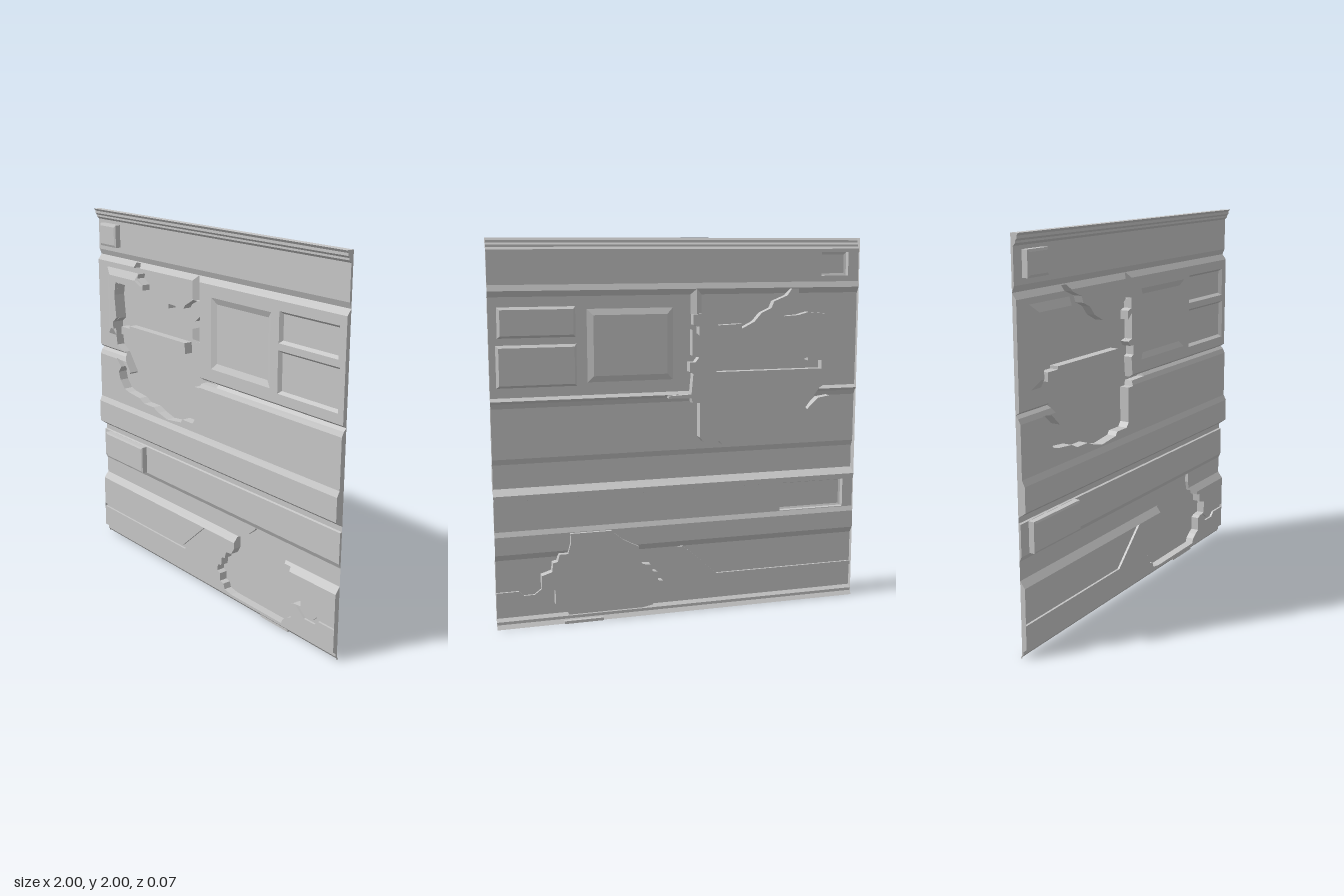
import * as THREE from 'three';

const BACK = -0.012;

// Cross-section of the moulded wall, from bottom to top: [y, z]
const profile = [
  [0, -0.022], [0.02, -0.004], [0.035, -0.004], [0.05, 0.015], [0.36, 0.015], [0.395, BACK],
  [0.49, BACK], [0.515, 0], [0.675, 0], [0.678, BACK], [0.705, BACK], [0.735, 0.03], [0.86, 0.03],
  [0.89, 0.015], [1.15, 0.015], [1.175, 0.003], [1.19, BACK], [1.205, 0.01], [1.71, 0.01],
  [1.74, BACK], [1.77, 0], [1.943, 0], [1.955, 0.012], [1.965, 0.012], [1.975, 0.021],
  [1.988, 0.021], [2, 0.03],
];

function wallZ(y) {
  for (let i = 1; i < profile.length; i++) {
    const [y0, z0] = profile[i - 1], [y1, z1] = profile[i];
    if (y <= y1) return z0 + (z1 - z0) * (y - y0) / (y1 - y0);
  }
  return profile[profile.length - 1][1];
}

const pairs = (a) => a.reduce((p, v, i) => (i % 2 ? p[p.length - 1].push(v) : p.push([v]), p), []);
const rect = (x0, y0, x1, y1) => [[x0, y0], [x1, y0], [x1, y1], [x0, y1]];
const edges = (poly) => poly.map((p, i) => [p, poly[(i + 1) % poly.length]]);
const levels = (ys) => [...new Set(ys.map((y) => +y.toFixed(5)))].sort((a, b) => a - b);

// Torn openings, stored as hundredths of a unit
const hundredths = (a) => pairs(a).map(([x, y]) => [x / 100, y / 100]);
const upperHole = hundredths([
  -64, 173.5, -60, 173.5, -57.5, 170, -50, 167, -48.5, 163.5, -43, 161, -39, 156.5, -32, 153,
  -32, 155.5, -19, 155, -17.5, 157, -12, 160, -10.7, 161, -5.3, 161, -5.3, 155.5, -8.5, 154.5,
  -8.5, 150, -4.8, 153, -4.8, 139.5, -8.5, 138.5, -6.5, 136, -3.3, 136, -3.3, 131, -5.3, 130,
  -4.3, 119.2, 8, 118.7, 8, 117.4, -4.3, 117.2, -5, 114.5, -9, 114.5, -9, 96, -11, 93.5,
  -20, 93.5, -21.5, 91.5, -34, 90, -42, 92, -47, 94, -56, 94, -60.5, 96.2, -71, 97.3, -75.5, 98.5,
  -79.5, 103, -81, 107.5, -78.5, 111, -83, 115.5, -76.5, 114.5, -70, 108.5, -69, 109.5,
  -77, 120, -82.5, 123.5, -83.5, 130, -83.5, 137, -80, 139.5, -81.5, 153, -80, 160,
  -69.5, 161, -64, 159.5, -56, 159, -56, 162, -61, 165, -60, 167.5, -64, 170.5,
]);
const lowerHole = hundredths([
  39, 48.7, 61, 48.7, 61, 43.5, 62.5, 38, 67, 38, 68, 34.2, 70.5, 33.7, 71, 29, 76.5, 27.3,
  76.5, 20.3, 71.6, 19.8, 69.5, 18.7, 69.5, 11.2, 66.3, 9.6, 63.6, 7.5, 62.5, 5, 22.5, 5,
  17, 6, 16, 9, 13, 9.6, 13, 14, 10.7, 15, 11.2, 18.7, 14, 19.3, 14.5, 24, 17, 24.6, 18, 28.3,
  22.5, 29, 24.6, 32.6, 24.6, 39, 28, 40.6, 33, 43.3, 37.5, 47,
]);
const strut = pairs([-0.78, 1.35, -0.7, 1.35, -0.7, 1.365, -0.18, 1.365, -0.18, 1.305, -0.78, 1.305]);
const leftGroove = pairs([-1, 0.192, -0.2, 0.192, -0.01, 0.36, 0.02, 0.36, -0.185, 0.172, -1, 0.172]);
const rightGroove = pairs([0.73, 0.195, 0.79, 0.145, 0.865, 0.145, 0.89, 0.17, 1, 0.17, 1, 0.19,
  0.88, 0.19, 0.855, 0.165, 0.8, 0.165, 0.76, 0.195]);
const seam = pairs([-0.11, 1.61, -0.11, 1.71, -0.08, 1.74, -0.05, 1.71, -0.05, 1.61]);

// Pressed panels: x0, y0, x1, y1, bevel width, rim z, face z
const panels = {
  raisedUpperBox: [-0.94, 1.8, -0.785, 1.925, 0.012, 0.03, 0.035],
  raisedLowerBox: [-0.94, 0.518, -0.565, 0.674, 0.01, 0.03, 0.035],
  recessedLargePanel: [0.045, 1.27, 0.5, 1.645, 0.032, 0.01, -0.003],
  recessedUpperSlot: [0.558, 1.505, 0.955, 1.66, 0.013, 0.01, -0.008],
  recessedLowerSlot: [0.555, 1.255, 0.965, 1.47, 0.013, 0.01, -0.008],
};

function quad(out, a, b, c, d) {
  out.push(...a, ...b, ...c, ...a, ...c, ...d);
}

// Even-odd fill of polygons, cut into horizontal slabs that follow a height rule
function fill(out, polys, zFn) {
  const all = polys.flatMap(edges);
  const ys = levels([...all.map((e) => e[0][1]), ...profile.map((p) => p[0])]);
  const xAt = ([p, q], y) => p[0] + (q[0] - p[0]) * (y - p[1]) / (q[1] - p[1]);
  for (let i = 1; i < ys.length; i++) {
    const y0 = ys[i - 1], y1 = ys[i], m = (y0 + y1) / 2;
    const hit = all.filter(([p, q]) => (p[1] < m) !== (q[1] < m)).sort((a, b) => xAt(a, m) - xAt(b, m));
    for (let k = 0; k + 1 < hit.length; k += 2) {
      const [l, r] = [hit[k], hit[k + 1]];
      quad(out, [xAt(l, y0), y0, zFn(y0)], [xAt(r, y0), y0, zFn(y0)],
        [xAt(r, y1), y1, zFn(y1)], [xAt(l, y1), y1, zFn(y1)]);
    }
  }
}

// Side walls along a line, joining two height rules
function wall(out, p, q, zA, zB) {
  const inner = profile.map((v) => v[0]).filter((y) => (y - p[1]) * (y - q[1]) < 0);
  inner.sort((a, b) => (q[1] > p[1] ? a - b : b - a));
  const pts = [p, ...inner.map((y) => [p[0] + (q[0] - p[0]) * (y - p[1]) / (q[1] - p[1]), y]), q];
  for (let i = 1; i < pts.length; i++) {
    const [a, b] = [pts[i - 1], pts[i]];
    quad(out, [...a, zA(a[1])], [...b, zA(b[1])], [...b, zB(b[1])], [...a, zB(a[1])]);
  }
}
const walls = (out, poly, zA, zB) => edges(poly).forEach(([p, q]) => wall(out, p, q, zA, zB));

export function createModel() {
  const group = new THREE.Group();
  const grey = new THREE.MeshStandardMaterial({ color: 0xc5c5c5, side: THREE.DoubleSide });
  grey.name = 'wall grey';

  function part(name, build) {
    const out = [];
    build(out);
    const geometry = new THREE.BufferGeometry();
    geometry.setAttribute('position', new THREE.Float32BufferAttribute(out, 3));
    geometry.computeVertexNormals();
    const mesh = new THREE.Mesh(geometry, grey);
    mesh.name = name;
    group.add(mesh);
  }

  // Moulded sheet with every opening cut out
  const cuts = Object.values(panels).map(([a, b, c, d]) => rect(a, b, c, d));
  part('wallSheet', (o) => fill(o, [rect(-1, 0, 1, 2), upperHole, strut, lowerHole,
    leftGroove, rightGroove, seam, ...cuts], wallZ));

  // End flanges and top ledge
  part('edgeFlanges', (o) => {
    for (const x of [-1, 1]) wall(o, [x, 0], [x, 2], wallZ, () => BACK);
    quad(o, [-1, 2, 0.03], [1, 2, 0.03], [1, 2, BACK], [-1, 2, BACK]);
  });

  // Bevelled panels; the raised ones have straight sides below the bevel
  for (const [name, [x0, y0, x1, y1, b, rim, z]] of Object.entries(panels)) {
    part(name, (o) => {
      const outer = rect(x0, y0, x1, y1), inner = rect(x0 + b, y0 + b, x1 - b, y1 - b);
      if (z > rim) walls(o, outer, wallZ, () => rim);
      for (let i = 0; i < 4; i++) {
        const j = (i + 1) % 4;
        quad(o, [...outer[i], rim], [...outer[j], rim], [...inner[j], z], [...inner[i], z]);
      }
      quad(o, ...inner.map((p) => [...p, z]));
    });
  }

  // Torn cavities with their floors
  for (const [name, polys, z] of [['upperCavity', [upperHole, strut], -0.037], ['lowerCavity', [lowerHole], -0.03]]) {
    part(name, (o) => {
      fill(o, polys, () => z);
      polys.forEach((p) => walls(o, p, wallZ, () => z));
    });
  }

  // Narrow grooves in the lower wall
  const grooveZ = (y) => wallZ(y) - 0.012;
  for (const [name, poly] of [['leftGroove', leftGroove], ['rightGroove', rightGroove]]) {
    part(name, (o) => {
      fill(o, [poly], grooveZ);
      walls(o, poly, wallZ, grooveZ);
    });
  }

  // V-shaped vertical seam, with a chip of it left lower down
  part('verticalSeam', (o) => {
    quad(o, [-0.11, 1.61, 0.01], [-0.08, 1.61, BACK], [-0.08, 1.74, BACK], [-0.11, 1.71, 0.01]);
    quad(o, [-0.08, 1.61, BACK], [-0.05, 1.61, 0.01], [-0.05, 1.71, 0.01], [-0.08, 1.74, BACK]);
    quad(o, [-0.11, 1.4, 0.01], [-0.08, 1.39, BACK], [-0.08, 1.465, BACK], [-0.11, 1.455, 0.01]);
  });

  // Remains of the raised left panel
  part('brokenRaisedPanel', (o) => {
    const face = pairs([-0.86, 1.64, -0.61, 1.64, -0.56, 1.615, -0.64, 1.6, -0.8, 1.605, -0.815, 1.53,
      -0.8, 1.4, -0.835, 1.37, -0.835, 1.33, -0.86, 1.33]);
    fill(o, [face], () => 0.03);
    edges(face).slice(1, 8).forEach(([p, q]) => wall(o, p, q, () => 0.03, wallZ));
    quad(o, [-0.86, 1.64, 0.03], [-0.61, 1.64, 0.03], [-0.6, 1.68, 0.01], [-0.91, 1.68, 0.01]);
    quad(o, [-0.91, 1.29, 0.01], [-0.86, 1.33, 0.03], [-0.86, 1.64, 0.03], [-0.91, 1.68, 0.01]);
    quad(o, [-0.91, 1.29, 0.01], [-0.835, 1.29, 0.01], [-0.835, 1.33, 0.03], [-0.86, 1.33, 0.03]);
  });

  // Small tab behind the bottom edge
  const tab = new THREE.Mesh(new THREE.BoxGeometry(0.21, 0.015, 0.02), grey);
  tab.name = 'bottomTab';
  tab.position.set(0.545, 0.0075, -0.02);
  group.add(tab);

  return group;
}
